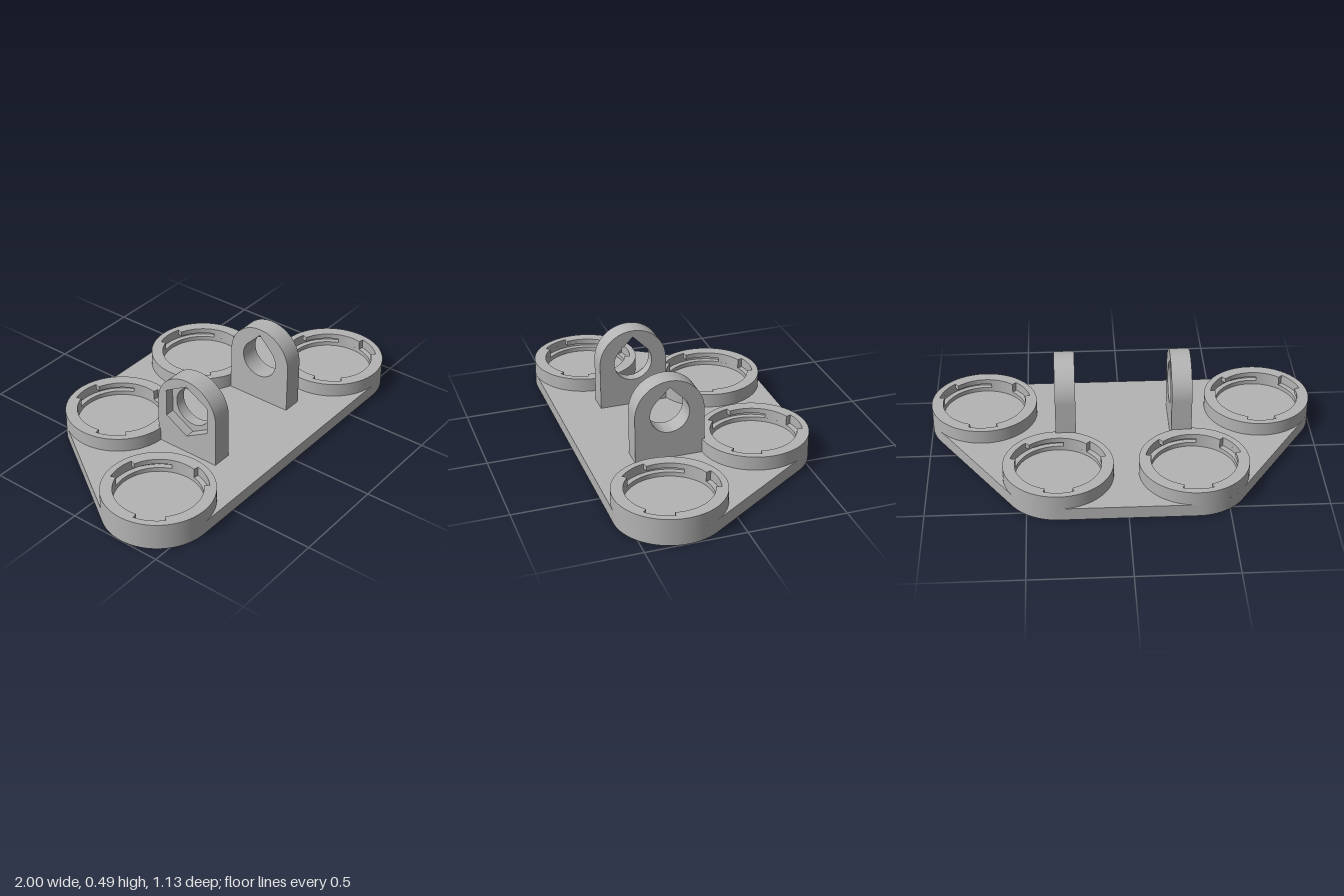
import * as THREE from 'three';
import { toCreasedNormals } from 'three/addons/utils/BufferGeometryUtils.js';

const PLATE_TOP = 0.067, RING_TOP = 0.14;
const OUTER = 0.277, INNER = 0.217, SLOT = 0.244;
const BACK = { x: 0.34, z: -0.287 }, FRONT = { x: 0.723, z: 0.286 };
const rad = THREE.MathUtils.degToRad;

export function createModel() {
  const grey = new THREE.MeshStandardMaterial({ color: 0xb4b4b4 });
  grey.name = 'grey';
  const model = new THREE.Group();
  model.name = 'mountingPlate';

  const extrude = (shape, depth) => toCreasedNormals(
    new THREE.ExtrudeGeometry(shape, { depth, bevelEnabled: false, curveSegments: 24 }), rad(30));

  const add = (parent, name, geometry) => {
    const mesh = new THREE.Mesh(geometry, grey);
    mesh.name = name;
    parent.add(mesh);
    return mesh;
  };

  // A horizontal slab: the outline lies in (x, z), between two heights
  const slab = (shape, y0, y1) => extrude(shape, y1 - y0).rotateX(Math.PI / 2).translate(0, y1, 0);

  // Base plate: four round corners joined by their tangents
  const lean = Math.atan2(FRONT.x - BACK.x, FRONT.z - BACK.z);
  const outline = new THREE.Shape();
  outline.absarc(FRONT.x, FRONT.z, OUTER, -lean, Math.PI / 2);
  outline.absarc(-FRONT.x, FRONT.z, OUTER, Math.PI / 2, Math.PI + lean);
  outline.absarc(-BACK.x, BACK.z, OUTER, Math.PI + lean, Math.PI * 1.5);
  outline.absarc(BACK.x, BACK.z, OUTER, Math.PI * 1.5, Math.PI * 2 - lean);
  add(model, 'basePlate', slab(outline, 0, PLATE_TOP));

  // One layer of a socket ring; its bore has three pockets of the given angular span
  const ringLayer = (from, to) => {
    const shape = new THREE.Shape();
    const bore = new THREE.Path();
    for (const centre of [-90, 30, 150]) {
      shape.absarc(0, 0, OUTER, rad(centre), rad(centre + 120));
      if (to > from) bore.absarc(0, 0, SLOT, rad(centre + from), rad(centre + to));
      bore.absarc(0, 0, INNER, rad(centre + to), rad(centre + 120 + from));
    }
    shape.holes.push(bore);
    return shape;
  };

  // Socket rings: plain foot, turning slots, then entry notches at the rim
  const layers = [
    ['ringFoot', slab(ringLayer(0, 0), PLATE_TOP, 0.09)],
    ['ringSlots', slab(ringLayer(-18, 68), 0.09, 0.113)],
    ['ringRim', slab(ringLayer(-18, 18), 0.113, RING_TOP)],
  ];
  for (const [row, c] of [['back', BACK], ['front', FRONT]]) {
    for (const side of [1, -1]) {
      const ring = new THREE.Group();
      ring.name = row + (side > 0 ? 'Left' : 'Right') + 'Socket';
      for (const [name, geometry] of layers) add(ring, name, geometry);
      ring.position.set(side * c.x, 0, c.z);
      model.add(ring);
    }
  }

  // Lugs: round-topped uprights, drawn in (z, y) around the bore centre
  const LUG_Y = 0.31, LUG_Z = 0.157, LUG_R = 0.179;
  const lugPlate = (hole, x0, x1) => {
    const shape = new THREE.Shape();
    shape.moveTo(-LUG_R, PLATE_TOP - LUG_Y);
    shape.lineTo(LUG_R, PLATE_TOP - LUG_Y);
    shape.absarc(0, 0, LUG_R, 0, Math.PI);
    shape.closePath();
    shape.holes.push(hole);
    return extrude(shape, x1 - x0).rotateY(-Math.PI / 2).translate(x1, LUG_Y, LUG_Z);
  };

  // Teardrop bore and hexagonal nut pocket
  const teardrop = new THREE.Path();
  teardrop.absarc(0, 0, 0.101, rad(135), rad(405));
  teardrop.lineTo(0, 0.144);
  teardrop.closePath();
  const hexagon = new THREE.Path(Array.from({ length: 6 }, (_, i) => {
    const a = rad(90 + i * 60);
    return new THREE.Vector2(0.146 * Math.cos(a), 0.146 * Math.sin(a));
  }));
  hexagon.closePath();

  add(model, 'leftLug', lugPlate(teardrop, 0.245, 0.349));
  const rightLug = new THREE.Group();
  rightLug.name = 'rightLug';
  add(rightLug, 'boreSide', lugPlate(teardrop, -0.3, -0.245));
  add(rightLug, 'nutPocketSide', lugPlate(hexagon, -0.349, -0.3));
  model.add(rightLug);

  return model;
}
